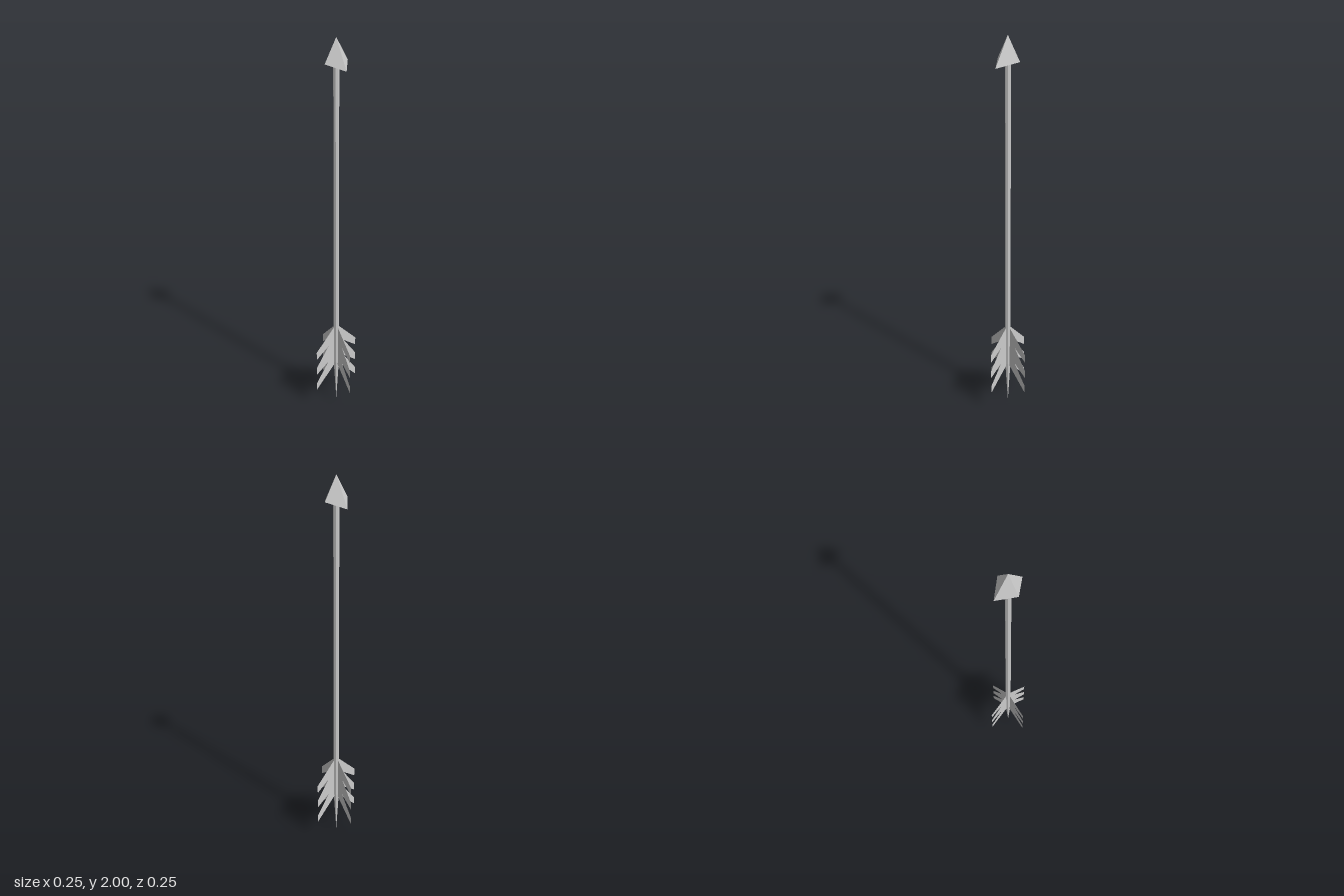
import * as THREE from 'three';

const grey = new THREE.MeshStandardMaterial({ color: 0xcccccc, flatShading: true });
const greyThin = new THREE.MeshStandardMaterial({ color: 0xcccccc, flatShading: true, side: THREE.DoubleSide });

function addMesh(parent, name, geometry, material = grey) {
  const mesh = new THREE.Mesh(geometry, material);
  mesh.name = name;
  parent.add(mesh);
  return mesh;
}

// Four-sided point whose side corners sweep lower than its front and back corners
function headGeometry() {
  const tip = [0, 2, 0];
  const ring = [[0.08, 1.86, 0], [0, 1.885, 0.064], [-0.08, 1.86, 0], [0, 1.885, -0.064]];
  const [left, front, right, back] = ring;
  const points = [];
  ring.forEach((corner, i) => points.push(tip, ring[(i + 1) % 4], corner));
  // underside, folded along the front-back line
  points.push(left, front, back, right, back, front);
  const geometry = new THREE.BufferGeometry();
  geometry.setAttribute('position', new THREE.Float32BufferAttribute(points.flat(), 3));
  geometry.computeVertexNormals();
  return geometry;
}

// Flat vane with three swept-back barbs
function vaneGeometry() {
  const outline = [
    [0, 0.478], [0.125, 0.345], [0.125, 0.3], [0.05, 0.357],
    [0.125, 0.248], [0.125, 0.204], [0.05, 0.26],
    [0.125, 0.15], [0.125, 0.108], [0.01, 0.23], [0, 0.23],
  ];
  return new THREE.ShapeGeometry(new THREE.Shape(outline.map(([x, y]) => new THREE.Vector2(x, y))));
}

export function createModel() {
  const arrow = new THREE.Group();
  arrow.name = 'arrow';

  addMesh(arrow, 'head', headGeometry());

  // Shaft, then its tail narrowing to a point
  const radius = 0.014, tailTop = 0.24, shaftTop = 1.89;
  addMesh(arrow, 'shaft', new THREE.CylinderGeometry(radius, radius, shaftTop - tailTop, 8, 1, true))
    .position.y = (shaftTop + tailTop) / 2;
  addMesh(arrow, 'tail', new THREE.CylinderGeometry(radius, 0, tailTop, 8, 1, true))
    .position.y = tailTop / 2;

  // Four vanes in a cross
  const fletching = new THREE.Group();
  fletching.name = 'fletching';
  const vane = vaneGeometry();
  for (let i = 0; i < 4; i++) {
    addMesh(fletching, `vane${i + 1}`, vane, greyThin).rotation.y = i * Math.PI / 2;
  }
  arrow.add(fletching);

  return arrow;
}
